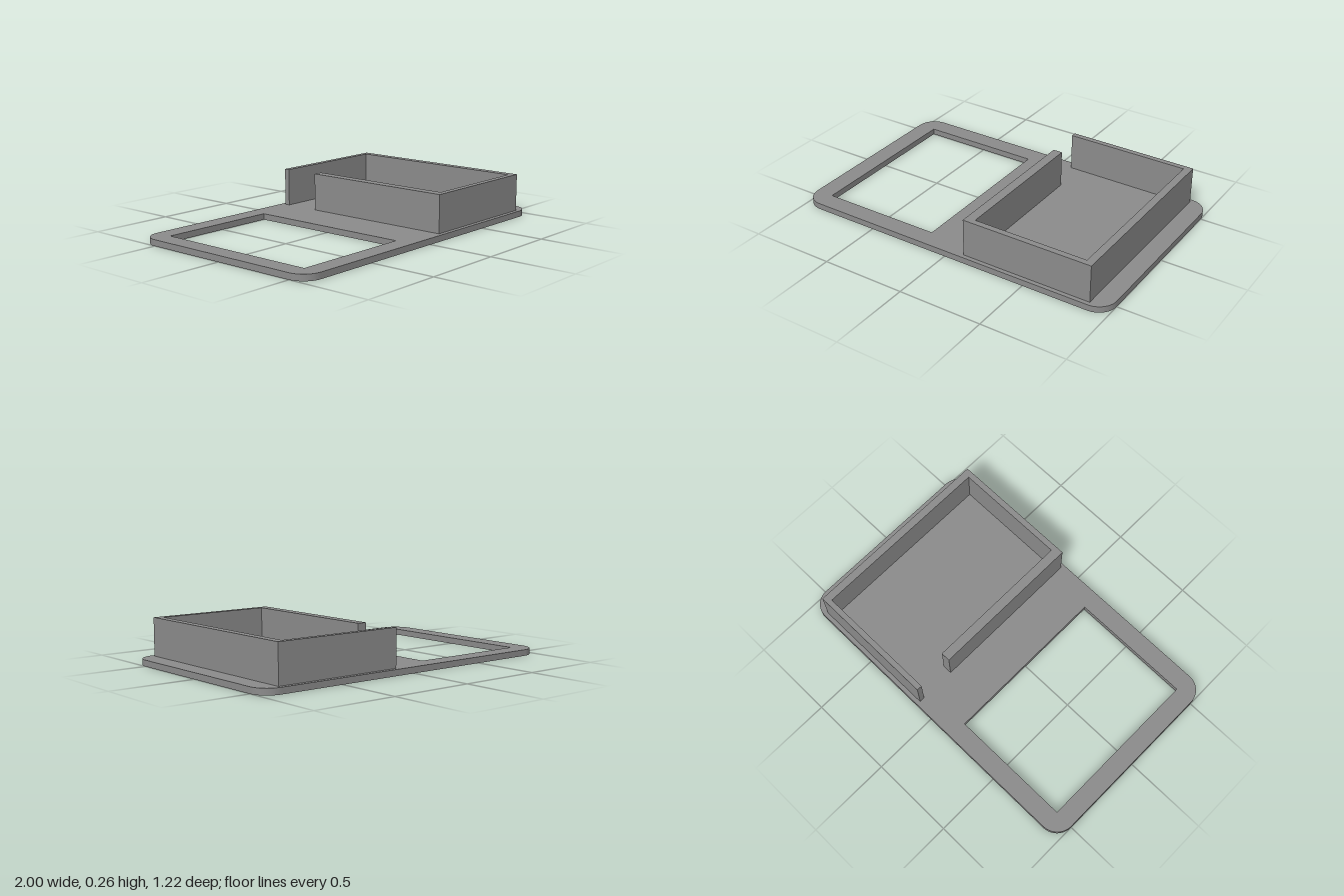
import * as THREE from 'three';
import { toCreasedNormals } from 'three/addons/utils/BufferGeometryUtils.js';

const BASE_TOP = 0.036, WALL_TOP = 0.257;

// Extrude a plan drawn in (x, z) upwards from y0 to y1
function extrudePlan(shape, y0, y1) {
  const geo = new THREE.ExtrudeGeometry(shape, { depth: y1 - y0, bevelEnabled: false, curveSegments: 12 });
  geo.rotateX(-Math.PI / 2).translate(0, y0, 0);
  return toCreasedNormals(geo, 0.5);
}

// Plan coordinates are (x, z); shape y is -z
const toPoints = (plan) => plan.map(([x, z]) => new THREE.Vector2(x, -z));

function roundedRect(w, d, r) {
  const s = new THREE.Shape();
  const x = w / 2 - r, y = d / 2 - r;
  s.absarc(x, y, r, 0, Math.PI / 2);
  s.absarc(-x, y, r, Math.PI / 2, Math.PI);
  s.absarc(-x, -y, r, Math.PI, Math.PI * 1.5);
  s.absarc(x, -y, r, Math.PI * 1.5, Math.PI * 2);
  s.closePath();
  return s;
}

export function createModel() {
  const model = new THREE.Group();
  model.name = 'plateWithEnclosure';
  const grey = new THREE.MeshStandardMaterial({ color: 0x8c8c8c });
  grey.name = 'grey';

  // Rounded base plate with a rectangular window
  const plate = roundedRect(2, 1.22, 0.11);
  plate.holes.push(new THREE.Path(toPoints([[-0.89, -0.5], [-0.165, -0.5], [-0.165, 0.5], [-0.89, 0.5]])));
  const base = new THREE.Mesh(extrudePlan(plate, 0, BASE_TOP), grey);
  base.name = 'basePlate';

  // Continuous wall with a gap at the back of its inner side
  const wallPlan = new THREE.Shape(toPoints([
    [0.11, -0.34], [0.11, 0.585], [0.89, 0.585], [0.89, -0.585], [0.11, -0.585],
    [0.11, -0.553], [0.845, -0.553], [0.845, 0.55], [0.166, 0.55], [0.166, -0.34],
  ]));
  const wall = new THREE.Mesh(extrudePlan(wallPlan, BASE_TOP, WALL_TOP), grey);
  wall.name = 'enclosureWall';

  model.add(base, wall);
  return model;
}
